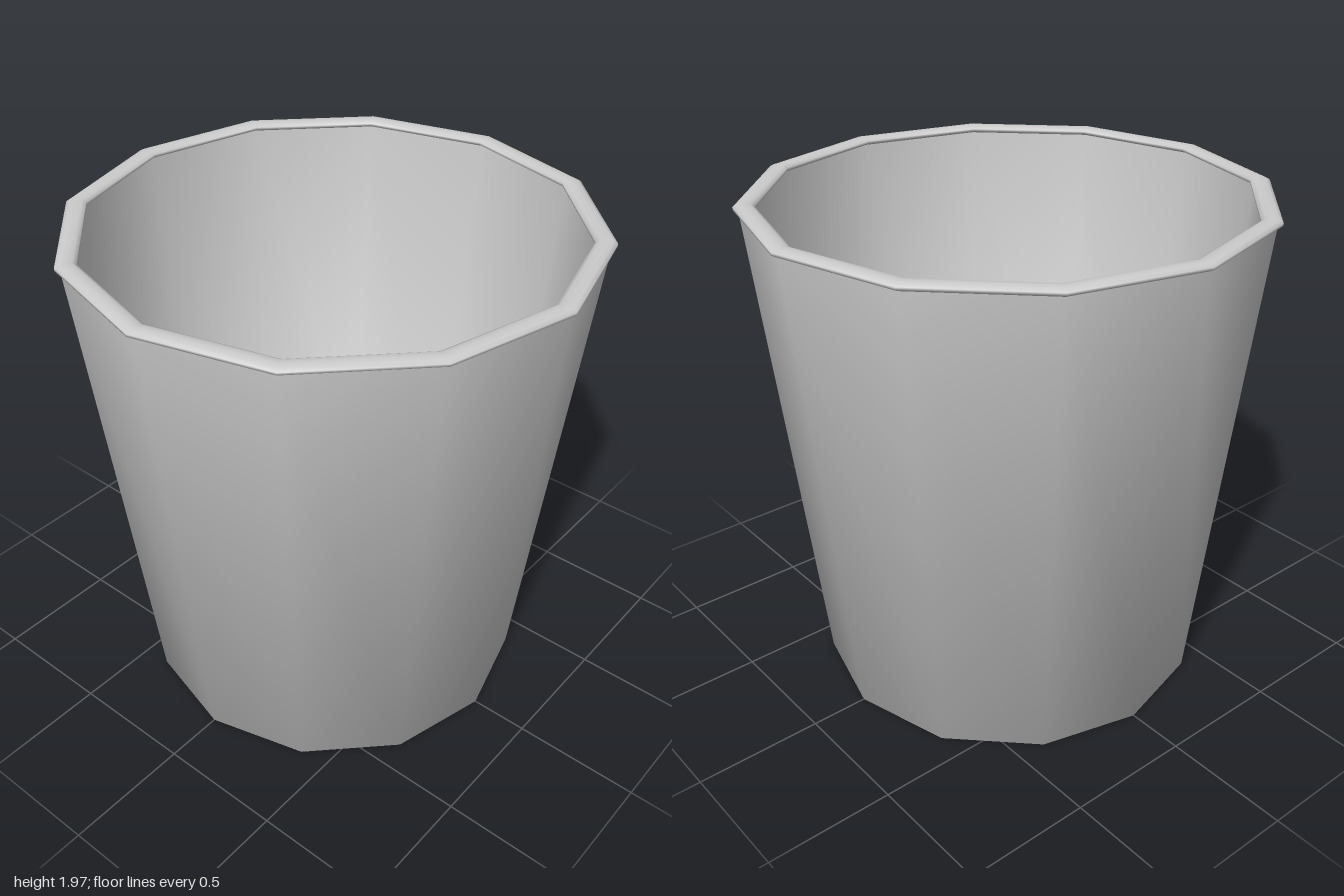
import * as THREE from 'three';

const SIDES = 12;

// Revolve a [radius, height] profile into a smooth-shaded, twelve-sided part
function revolve(name, profile, material) {
  const points = profile.map(([r, y]) => new THREE.Vector2(r, y));
  const mesh = new THREE.Mesh(new THREE.LatheGeometry(points, SIDES), material);
  mesh.name = name;
  return mesh;
}

export function createModel() {
  const group = new THREE.Group();
  group.name = 'bin';
  const material = new THREE.MeshStandardMaterial({ color: 0xcccccc });

  // Tapered wall with base, outside then inside
  group.add(revolve('body', [
    [0, 0], [0.77, 0], [0.98, 1.95],
    [0.94, 1.95], [0.735, 0.03], [0, 0.03],
  ], material));

  // Flattened rolled lip around the opening
  const lip = [];
  for (let i = 0; i <= 10; i++) {
    const a = (i / 10) * Math.PI * 2 - Math.PI / 2;
    lip.push([0.96 + 0.04 * Math.cos(a), 1.954 + 0.016 * Math.sin(a)]);
  }
  group.add(revolve('rim', lip, material));

  return group;
}
